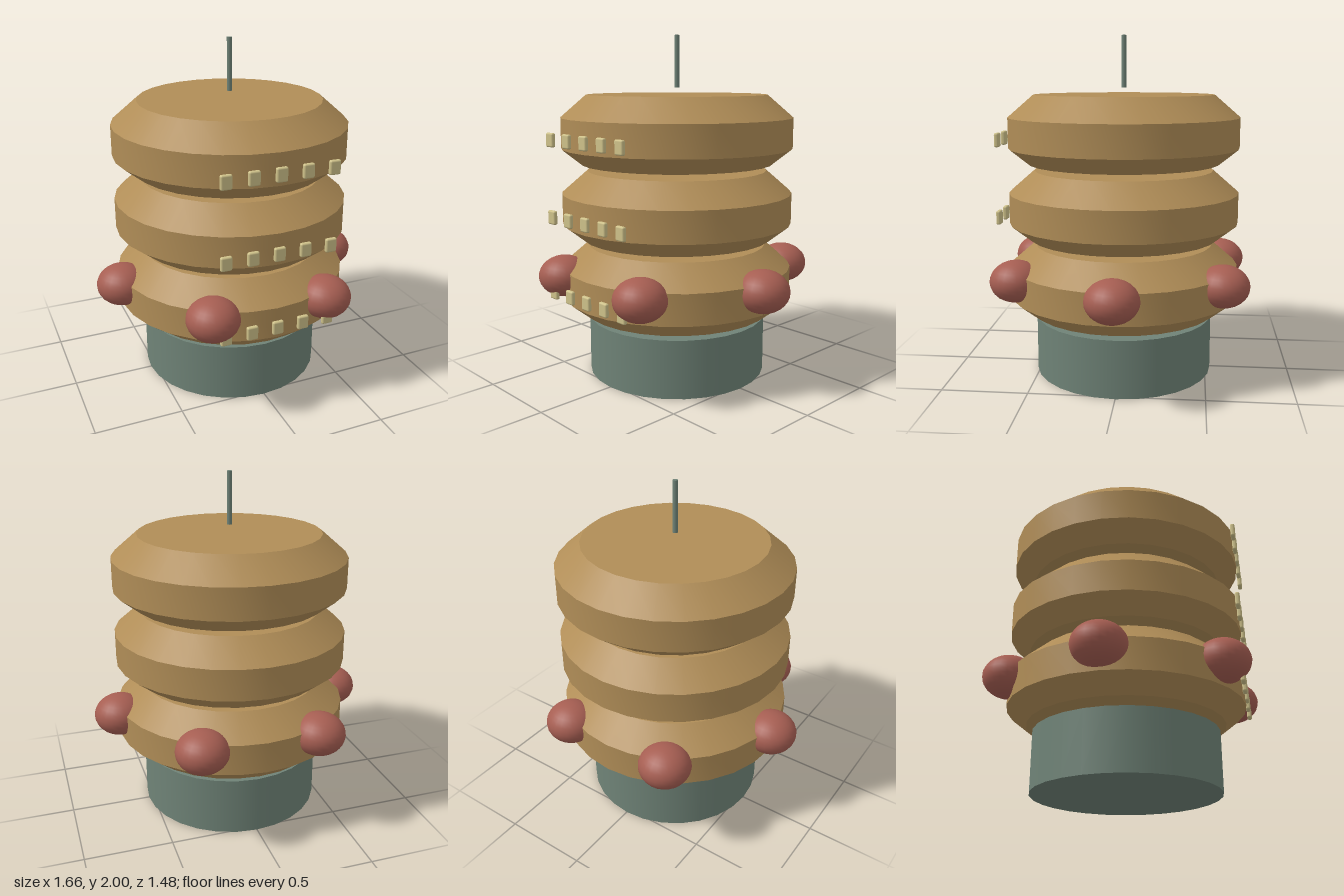
import * as THREE from 'three';
import { toCreasedNormals } from 'three/addons/utils/BufferGeometryUtils.js';
import { RoundedBoxGeometry } from 'three/addons/geometries/RoundedBoxGeometry.js';

const SIDES = 28;

function material(name, color) {
  const m = new THREE.MeshStandardMaterial({ color });
  m.name = name;
  return m;
}

export function createModel() {
  const model = new THREE.Group();
  model.name = 'tieredTower';
  const bronze = material('bronze', 0xb08d57);
  const greenGrey = material('greenGrey', 0x6f8377);
  const brickRed = material('brickRed', 0xa65e52);
  const paleYellow = material('paleYellow', 0xcfc28a);

  function add(name, geometry, mat, x, y, z) {
    const mesh = new THREE.Mesh(geometry, mat);
    mesh.name = name;
    mesh.position.set(x, y, z);
    model.add(mesh);
    return mesh;
  }

  // Base drum and mast
  add('base', new THREE.CylinderGeometry(0.53, 0.53, 0.34, SIDES), greenGrey, 0, 0.17, 0);
  add('mast', new THREE.CylinderGeometry(0.015, 0.015, 0.3, 12), greenGrey, 0, 1.85, 0);

  // Three floating bevelled tiers, each with a row of front windows
  const profile = [[0, 0], [0.565, 0], [0.68, 0.092], [0.68, 0.27], [0.53, 0.4], [0, 0.4]]
    .map(([r, y]) => new THREE.Vector2(r, y));
  const tierGeometry = toCreasedNormals(new THREE.LatheGeometry(profile, SIDES), 0.45);
  const windowGeometry = new RoundedBoxGeometry(0.065, 0.08, 0.026, 2, 0.01);
  for (let i = 0; i < 3; i++) {
    const y = 0.38 + i * 0.44;
    add('tier', tierGeometry, bronze, 0, y, 0);
    for (let j = -2; j <= 2; j++) {
      add('window', windowGeometry, paleYellow, j * 0.152, y + 0.154, 0.684);
    }
  }

  // Ring of flattened pods around the lowest tier
  const podGeometry = new THREE.SphereGeometry(0.15, 24, 16);
  for (let i = 0; i < 6; i++) {
    const a = (i * Math.PI) / 3;
    const pod = add('pod', podGeometry, brickRed, 0.68 * Math.cos(a), 0.61, 0.68 * Math.sin(a));
    pod.scale.y = 0.8;
  }
  return model;
}
